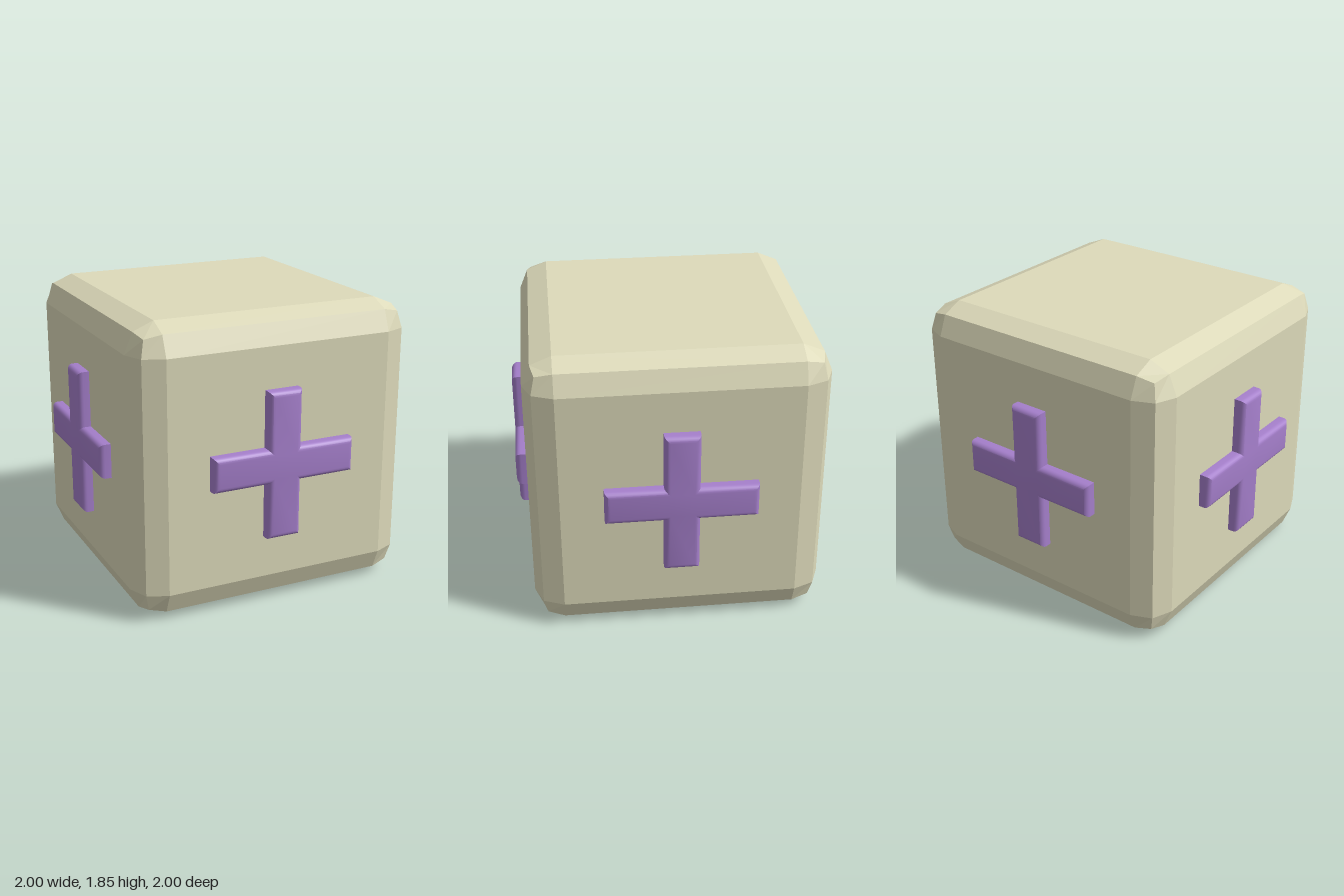
import * as THREE from 'three';
import { RoundedBoxGeometry } from 'three/addons/geometries/RoundedBoxGeometry.js';
import { toCreasedNormals } from 'three/addons/utils/BufferGeometryUtils.js';

const SIZE = 1.85;          // cube edge length
const EDGE = 0.185;         // cube edge rounding
const ARM = 0.472;          // cross half span
const WIDTH = 0.11;         // cross arm half width
const BEVEL = 0.035;        // cross edge rounding
const DEPTH = 0.1;

// Plus-shaped plate with rounded rims, its outer face at z = 1
function crossGeometry() {
  const corner = [[ARM, -WIDTH], [ARM, WIDTH], [WIDTH, WIDTH]];
  const points = [];
  for (let i = 0; i < 4; i++) {
    for (const [x, y] of corner) {
      const p = new THREE.Vector2(x, y);
      for (let k = 0; k < i; k++) p.set(-p.y, p.x);
      points.push(p);
    }
  }
  const geometry = new THREE.ExtrudeGeometry(new THREE.Shape(points), {
    depth: DEPTH,
    bevelEnabled: true,
    bevelThickness: BEVEL,
    bevelSize: BEVEL,
    bevelOffset: -BEVEL,
    bevelSegments: 4,
  });
  geometry.translate(0, 0, 1 - DEPTH - BEVEL);
  return toCreasedNormals(geometry, 0.6);
}

export function createModel() {
  const model = new THREE.Group();
  model.name = 'crossCube';

  // Faceted cube with two facets along each edge
  const body = new THREE.Mesh(
    new RoundedBoxGeometry(SIZE, SIZE, SIZE, 1, EDGE),
    new THREE.MeshStandardMaterial({ color: 0xdddaba, flatShading: true })
  );
  body.name = 'cubeBody';
  body.position.y = SIZE / 2;
  model.add(body);

  // One raised cross on each upright side
  const geometry = crossGeometry();
  const material = new THREE.MeshStandardMaterial({ color: 0xa57fcb });
  ['front', 'left', 'back', 'right'].forEach((side, i) => {
    const cross = new THREE.Mesh(geometry, material);
    cross.name = side + 'Cross';
    cross.position.y = 0.93;
    cross.rotation.y = i * Math.PI / 2;
    model.add(cross);
  });

  return model;
}
